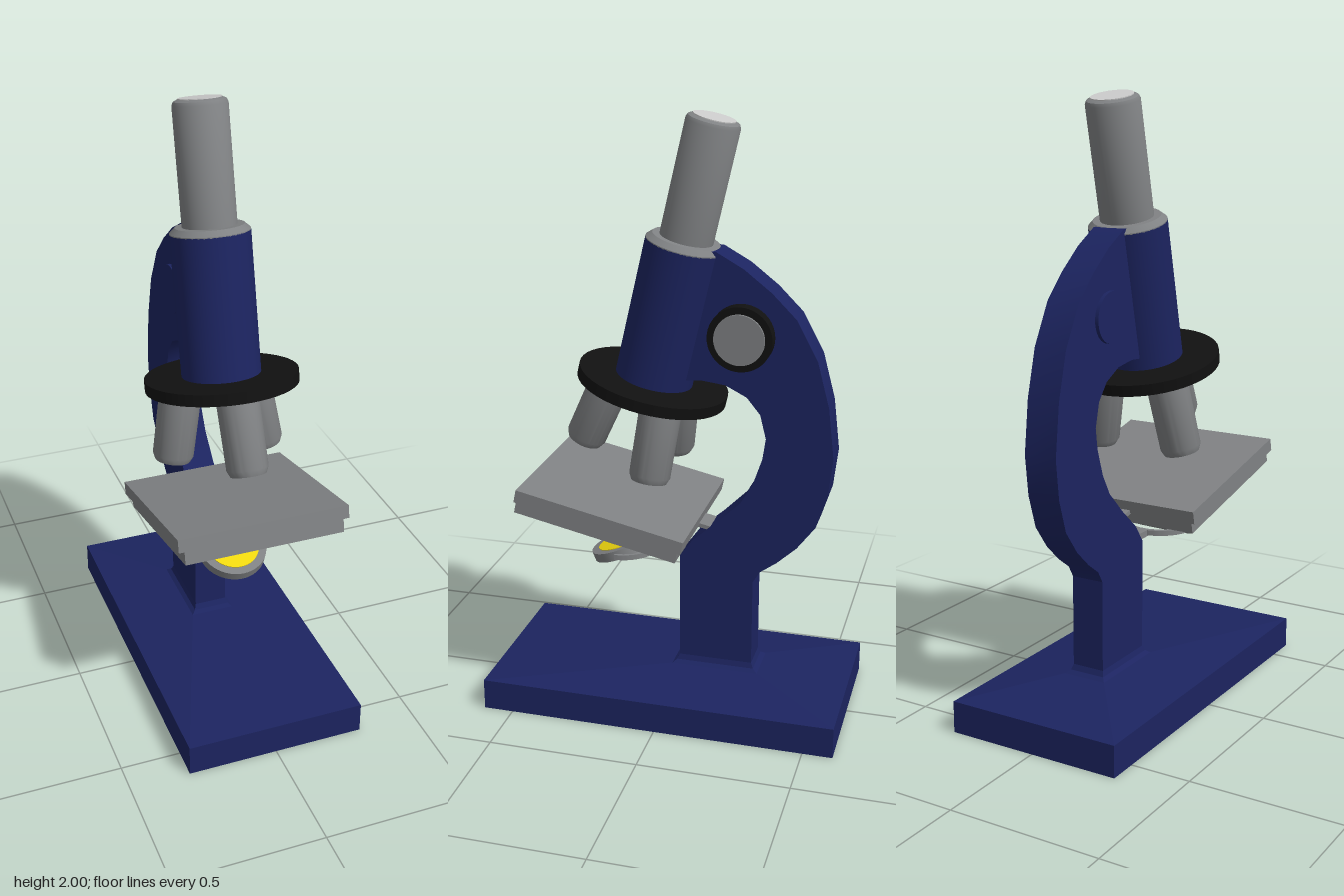
import * as THREE from 'three';
import { toCreasedNormals } from 'three/addons/utils/BufferGeometryUtils.js';

const mat = (color) => new THREE.MeshStandardMaterial({ color });
const blue = mat(0x1c2460), black = mat(0x111111), metal = mat(0x808284);
const pale = mat(0xcccccc), yellow = mat(0xf0d810);

function add(parent, name, geometry, material, x = 0, y = 0, z = 0) {
  const mesh = new THREE.Mesh(geometry, material);
  mesh.name = name;
  mesh.position.set(x, y, z);
  parent.add(mesh);
  return mesh;
}

function subgroup(parent, name, x, y, z, tilt) {
  const g = new THREE.Group();
  g.name = name;
  g.position.set(x, y, z);
  g.rotation.x = tilt;
  parent.add(g);
  return g;
}

const disc = (r, h) => new THREE.CylinderGeometry(r, r, h, 48);

// Turned part from [radius, height] pairs, bottom to top, with crisp edges
const turned = (pts) => toCreasedNormals(
  new THREE.LatheGeometry(pts.map(([r, y]) => new THREE.Vector2(r, y)), 40), 0.5);

// Loft through rectangles [halfWidth, zBack, zFront, y], capped at both ends
function rectLoft(levels) {
  const pos = [], index = [];
  for (const [w, z0, z1, y] of levels) pos.push(-w, y, z1, w, y, z1, w, y, z0, -w, y, z0);
  for (let l = 0; l < levels.length - 1; l++) {
    for (let i = 0; i < 4; i++) {
      const a = l * 4 + i, b = l * 4 + (i + 1) % 4;
      index.push(a, b, b + 4, a, b + 4, a + 4);
    }
  }
  const t = (levels.length - 1) * 4;
  index.push(0, 2, 1, 0, 3, 2, t, t + 1, t + 2, t, t + 2, t + 3);
  const g = new THREE.BufferGeometry();
  g.setAttribute('position', new THREE.Float32BufferAttribute(pos, 3));
  g.setIndex(index);
  return toCreasedNormals(g, 0.05);
}

// Curved arm and post: side outline as [distance behind centre, height]
function armGeometry() {
  const outline = [
    [0.08, 1.58], [0.14, 1.58], [0.23, 1.53], [0.32, 1.46], [0.4, 1.38], [0.47, 1.25],
    [0.51, 1.1], [0.53, 0.93], [0.515, 0.8], [0.48, 0.69], [0.42, 0.61], [0.355, 0.55],
    [0.3, 0.51], [0.276, 0.47], [0.276, 0.13], [0.027, 0.13], [0.027, 0.54], [0.07, 0.6],
    [0.15, 0.67], [0.23, 0.75], [0.27, 0.82], [0.3, 0.91], [0.31, 0.98], [0.29, 1.06],
    [0.245, 1.115], [0.175, 1.15], [0.095, 1.16], [0.03, 1.155],
  ];
  const shape = new THREE.Shape(outline.map(([x, y]) => new THREE.Vector2(x, y)));
  const g = new THREE.ExtrudeGeometry(shape, { depth: 0.112, bevelEnabled: false });
  g.translate(0, 0, -0.056).rotateY(Math.PI / 2);
  return toCreasedNormals(g, 0.5);
}

export function createModel() {
  const model = new THREE.Group();
  model.name = 'microscope';

  // Foot with sloping top and a small flare round the post
  add(model, 'base', rectLoft([
    [0.3, -0.6, 0.6, 0], [0.3, -0.6, 0.6, 0.105],
    [0.075, -0.3, -0.005, 0.14], [0.062, -0.284, -0.018, 0.15], [0.056, -0.276, -0.027, 0.168],
  ]), blue);
  add(model, 'arm', armGeometry(), blue);

  // Focus knob on the left, plain axle cap on the right
  const knobPart = (name, r, x0, x1, m) => {
    add(model, name, disc(r, x1 - x0), m, (x0 + x1) / 2, 1.316, -0.228).rotation.z = Math.PI / 2;
  };
  knobPart('focusKnob', 0.105, 0.05, 0.1, black);
  knobPart('focusKnobFace', 0.082, 0.09, 0.108, metal);
  knobPart('axleCap', 0.082, -0.068, -0.05, blue);

  // Leaning optical tube
  const tube = subgroup(model, 'opticalTube', 0, 1.123, 0.08, -0.227);
  add(tube, 'nosepiece', disc(0.248, 0.038), black);
  add(tube, 'tubeBody', disc(0.128, 0.475), blue, 0, 0.2375, 0);
  add(tube, 'tubeCollar', turned([[0.128, 0.474], [0.128, 0.478], [0.11, 0.495], [0.08, 0.495]]), metal);
  add(tube, 'eyepiece', turned([
    [0.087, 0.48], [0.087, 0.865], [0.082, 0.876], [0.07, 0.882], [0, 0.882],
  ]), metal);
  add(tube, 'eyepieceLens', disc(0.068, 0.006), pale, 0, 0.882, 0);

  // Three objectives splayed outwards, one at the front
  const barrel = turned([
    [0, -0.262], [0.046, -0.262], [0.048, -0.275], [0.058, -0.275], [0.067, -0.255], [0.069, -0.01],
  ]);
  for (let i = 0; i < 3; i++) {
    const turret = new THREE.Group();
    turret.name = 'objectiveMount';
    turret.rotation.y = i * Math.PI * 2 / 3;
    tube.add(turret);
    add(turret, 'objective', barrel, metal, 0, 0, 0.13).rotation.x = -0.2;
  }

  // Tilted stage of two plates, joined to the arm by a strip
  const stage = subgroup(model, 'stage', 0, 0.751, 0.183, -0.213);
  add(stage, 'stagePlate', new THREE.BoxGeometry(0.568, 0.043, 0.572), metal, 0, -0.0215, 0);
  add(stage, 'stageUnderplate', new THREE.BoxGeometry(0.53, 0.045, 0.555), metal, 0, -0.065, 0.006);
  add(stage, 'stageBracket', new THREE.BoxGeometry(0.09, 0.014, 0.12), metal, 0, -0.04, -0.31);

  // Tilting mirror
  const mirror = subgroup(model, 'mirror', 0, 0.535, 0.185, 0.39);
  add(mirror, 'mirrorFrame', disc(0.113, 0.032), metal);
  add(mirror, 'mirrorGlass', disc(0.087, 0.006), yellow, 0, 0.0155, 0);

  // Half-ring fork and stem carrying the mirror
  const fork = new THREE.Shape();
  fork.absarc(0, 0, 0.122, 0, Math.PI, false);
  fork.absarc(0, 0, 0.106, Math.PI, 0, true);
  const forkGeo = new THREE.ExtrudeGeometry(fork, { depth: 0.018, bevelEnabled: false, curveSegments: 24 });
  forkGeo.rotateX(-Math.PI / 2);
  add(model, 'mirrorFork', toCreasedNormals(forkGeo, 0.5), metal, 0, 0.526, 0.185);
  add(model, 'mirrorStem', new THREE.BoxGeometry(0.04, 0.022, 0.17), metal, 0, 0.533, -0.005);

  return model;
}
